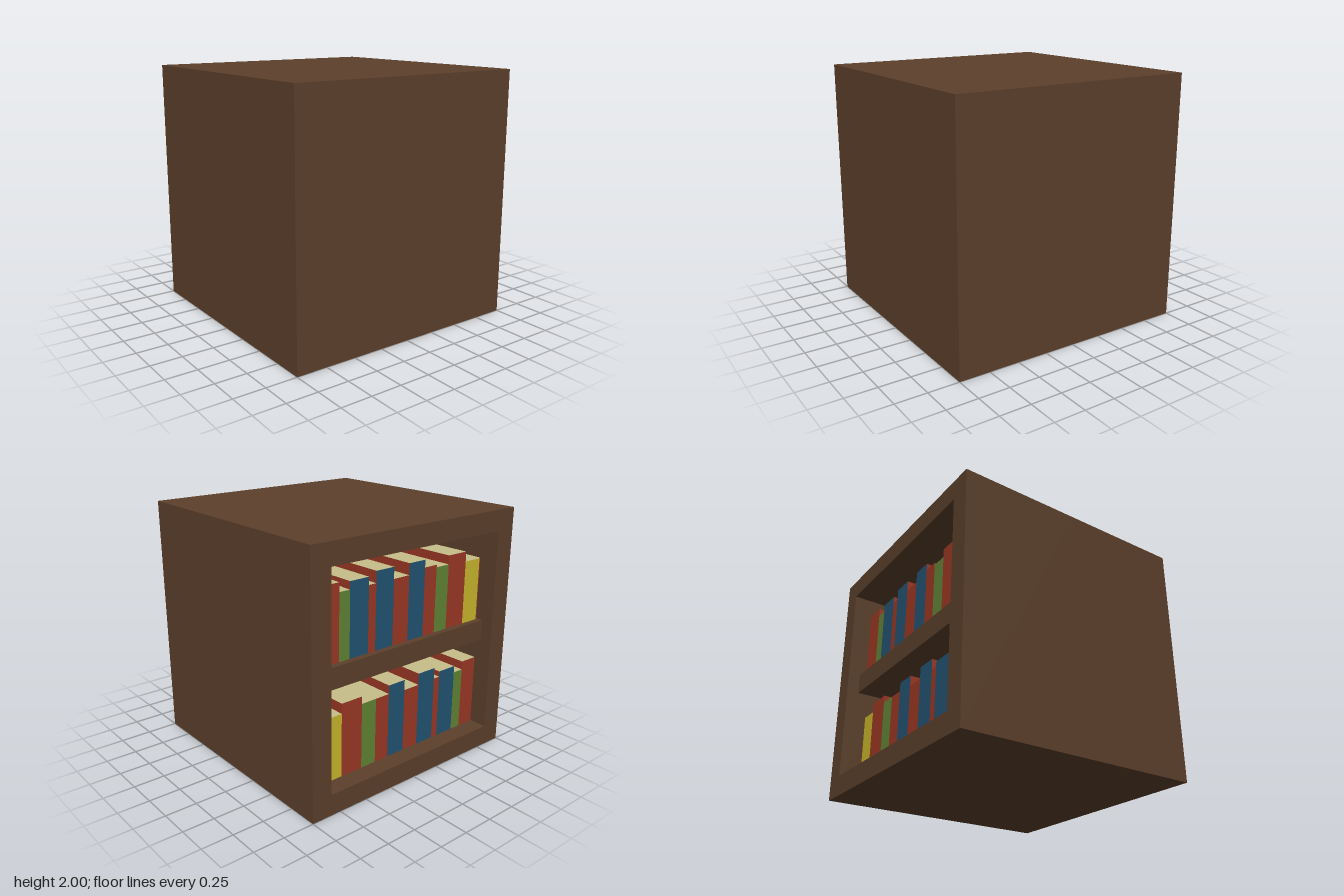
import * as THREE from 'three';

const paint = (name, color) => {
  const m = new THREE.MeshStandardMaterial({ color });
  m.name = name;
  return m;
};

export function createModel() {
  const wood = paint('dark wood', 0x5c402b);
  const red = paint('red cover', 0x9c3824);
  const green = paint('green cover', 0x618536);
  const blue = paint('blue cover', 0x235473);
  const yellow = paint('yellow cover', 0xc8b72c);
  const paper = paint('cream pages', 0xc8be8a);

  const model = new THREE.Group();
  model.name = 'bookshelf';

  const WALL = 1 / 6;    // thickness of the case boards
  const INNER = 1 - WALL; // half width of the opening
  const BACK = 0;        // z where the cavity ends

  function box(name, material, x0, x1, y0, y1, z0, z1, parent = model) {
    const mesh = new THREE.Mesh(new THREE.BoxGeometry(x1 - x0, y1 - y0, z1 - z0), material);
    mesh.position.set((x0 + x1) / 2, (y0 + y1) / 2, (z0 + z1) / 2);
    mesh.name = name;
    parent.add(mesh);
    return mesh;
  }

  // Case: a square frame open towards -z, closed by a solid half at +z
  const outline = new THREE.Shape([[-1, 0], [1, 0], [1, 2], [-1, 2]].map(p => new THREE.Vector2(...p)));
  outline.holes.push(new THREE.Path(
    [[-INNER, WALL], [-INNER, 2 - WALL], [INNER, 2 - WALL], [INNER, WALL]].map(p => new THREE.Vector2(...p))));
  const frame = new THREE.Mesh(
    new THREE.ExtrudeGeometry(outline, { depth: 1 + BACK, bevelEnabled: false }), wood);
  frame.position.z = -1;
  frame.name = 'caseFrame';
  model.add(frame);
  box('caseBody', wood, -1, 1, 0, 2, BACK, 1);

  // Middle shelf, set back a little from the frame
  box('middleShelf', wood, -INNER, INNER, 1 - WALL / 2, 1 + WALL / 2, -0.9, BACK);

  // A row runs from +x to -x; each book is [spine, distance of its far edge from x = 1, height]
  function bookRow(name, base, start, books) {
    const row = new THREE.Group();
    row.name = name;
    let from = start;
    for (const [spine, to, height, setBack = 0] of books) {
      // red sides, cream page top, coloured spine facing -z
      box('book', [red, red, paper, red, red, spine],
        1 - to, 1 - from, base, base + height, -0.85 + setBack, BACK, row);
      from = to;
    }
    model.add(row);
  }

  bookRow('upperBooks', 1 + WALL / 2, 0.19, [
    [red, 0.36, 0.58], [green, 0.456, 0.51], [blue, 0.63, 0.57], [red, 0.70, 0.51],
    [blue, 0.872, 0.60], [red, 1.027, 0.51], [blue, 1.19, 0.60], [red, 1.316, 0.54],
    [green, 1.45, 0.52], [red, 1.645, 0.59], [yellow, 1.81, 0.51], [red, 1.832, 0.51, 0.01],
  ]);
  bookRow('lowerBooks', WALL, 0.21, [
    [red, 0.238, 0.51, 0.01], [yellow, 0.387, 0.51], [red, 0.581, 0.59], [green, 0.72, 0.53],
    [red, 0.852, 0.53], [blue, 1.017, 0.60], [red, 1.17, 0.515], [blue, 1.344, 0.61],
    [red, 1.405, 0.52], [blue, 1.58, 0.565], [green, 1.677, 0.51], [red, 1.832, 0.58],
  ]);

  return model;
}
